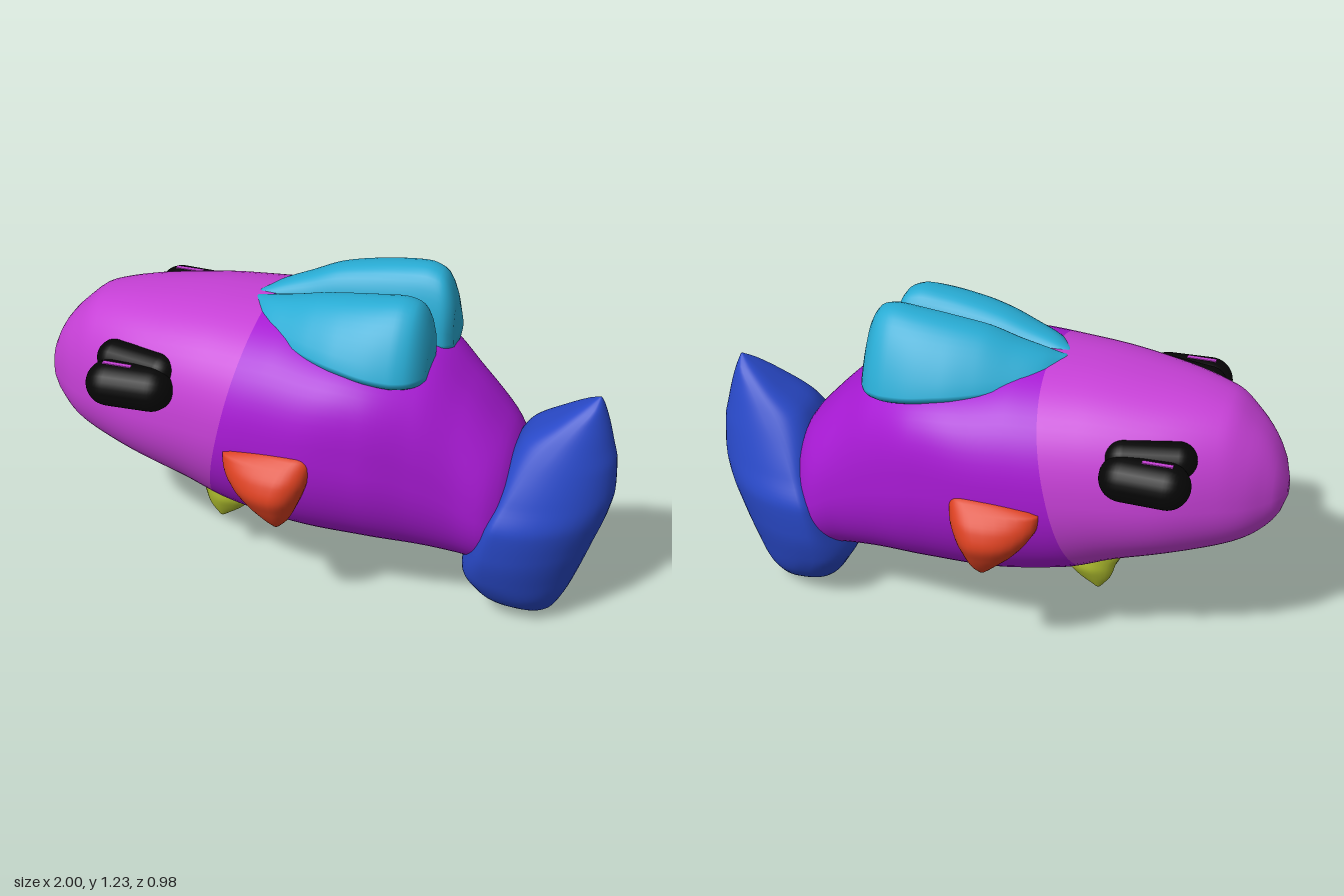
import * as THREE from 'three';

const mat = (name, color) => {
  const m = new THREE.MeshStandardMaterial({ color });
  m.name = name;
  return m;
};

// Smooth interpolation of station rows [t, hi, lo, mid, halfWidth, zCentre]
function sample(st, t) {
  let i = 0;
  while (i < st.length - 2 && t > st[i + 1][0]) i++;
  const a = st[i], b = st[i + 1], h = b[0] - a[0], u = (t - a[0]) / h;
  const slope = (k, c) => {
    if (k === 0 || k === st.length - 1) return (b[c] - a[c]) / h;
    const l = (st[k][c] - st[k - 1][c]) / (st[k][0] - st[k - 1][0]);
    const r = (st[k + 1][c] - st[k][c]) / (st[k + 1][0] - st[k][0]);
    return l * r <= 0 ? 0 : (2 * l * r) / (l + r);
  };
  return a.map((_, c) => {
    const u2 = u * u, u3 = u2 * u;
    return a[c] * (2 * u3 - 3 * u2 + 1) + b[c] * (3 * u2 - 2 * u3)
      + h * (slope(i, c) * (u3 - 2 * u2 + u) + slope(i + 1, c) * (u3 - u2));
  });
}

// Loft of superellipse sections along x or y; returns a closed smooth solid.
// taper pulls the upper half towards z = 0, eHi(t) squares off the upper half.
function loft(st, { axis = 'x', rows = 32, sides = 40, eHi = () => 2, eLo = 2, taper = 0, shear = () => 0, split = 0 }) {
  const pos = [], idx = [], t0 = st[0][0], t1 = st[st.length - 1][0];
  const flip = axis === 'y';
  const put = (t, v, w) => pos.push(...(flip ? [v, t, w] : [t + shear(t, v), v, w]));
  const tri = (a, b, c) => idx.push(...(flip ? [a, c, b] : [a, b, c]));
  const pw = (x, e) => Math.sign(x) * Math.pow(Math.abs(x), 2 / e);
  for (let i = 0; i <= rows; i++) {
    const t = t0 + (t1 - t0) * i / rows;
    const [, hi, lo, mid, hw, zc] = sample(st, t);
    for (let j = 0; j < sides; j++) {
      const a = j / sides * Math.PI * 2, c = Math.cos(a), s = Math.sin(a);
      const e = s > 0 ? eHi(t) : eLo, up = pw(s, e);
      put(t, mid + (s > 0 ? hi - mid : mid - lo) * up, (zc + hw * pw(c, e)) * (1 - taper * Math.max(0, up)));
    }
  }
  const c0 = pos.length / 3, c1 = c0 + 1, last = rows * sides;
  put(t0, st[0][3], st[0][5]);
  put(t1, st[st.length - 1][3], st[st.length - 1][5]);
  for (let j = 0; j < sides; j++) tri(c0, j, (j + 1) % sides);
  let cut = 0;
  for (let i = 0; i < rows; i++) {
    if (i === split) cut = idx.length;
    for (let j = 0; j < sides; j++) {
      const a = i * sides + j, b = i * sides + (j + 1) % sides;
      tri(a, a + sides, b);
      tri(b, a + sides, b + sides);
    }
  }
  for (let j = 0; j < sides; j++) tri(c1, last + (j + 1) % sides, last + j);
  const g = new THREE.BufferGeometry();
  g.setAttribute('position', new THREE.Float32BufferAttribute(pos, 3));
  g.setIndex(idx);
  if (split) {
    g.addGroup(0, cut, 0);
    g.addGroup(cut, idx.length - cut, 1);
  }
  g.computeVertexNormals();
  return g;
}

export function createModel() {
  const fish = new THREE.Group();
  fish.name = 'fish';
  const headMat = mat('orchid head', 0xc640d6), bodyMat = mat('violet body', 0xa81ad4);
  const tailMat = mat('blue tail', 0x2949c8), dorsalMat = mat('cyan dorsal', 0x28abd3);
  const sideMat = mat('orange fin', 0xda4020), bellyMat = mat('olive fin', 0xaebc2e);
  const eyeMat = mat('black eye', 0x060606);
  const add = (name, geo, material) => {
    const m = new THREE.Mesh(geo, material);
    m.name = name;
    fish.add(m);
    return m;
  };

  // Head and trunk in one skin, split at a slanted collar; the back is broad under the dorsal lobes
  add('headAndBody', loft([
    [-1, .73, .67, .7, .02, 0], [-.98, .80, .61, .7, .08, 0], [-.94, .88, .555, .7, .125, 0],
    [-.88, .95, .51, .7, .18, 0], [-.8, 1.015, .475, .71, .23, 0], [-.6, 1.06, .42, .72, .315, 0],
    [-.4, 1.085, .37, .73, .36, 0], [-.2, 1.09, .30, .73, .39, 0], [0, 1.06, .26, .71, .4, 0],
    [.2, 1.025, .25, .68, .375, 0], [.37, .985, .24, .62, .32, 0], [.5, .88, .225, .55, .275, 0],
    [.6, .775, .215, .48, .25, 0], [.66, .70, .22, .45, .2, 0], [.7, .6, .28, .44, .1, 0],
  ], {
    rows: 85, sides: 64, split: 36,
    eHi: t => 2.35 + .9 * Math.exp(-(((t - .2) / .2) ** 2)),
    shear: (t, y) => .22 * (y - .7) * Math.exp(-(((t + .28) / .3) ** 2)),
  }), [headMat, bodyMat]);

  // Thick fan tail, stacked upwards
  add('tail', loft([
    [.003, .79, .73, .76, .015, 0], [.02, .815, .69, .75, .06, 0], [.06, .84, .595, .72, .115, 0],
    [.13, .872, .545, .69, .178, 0], [.22, .905, .505, .65, .222, 0], [.34, .945, .54, .64, .255, 0],
    [.45, .98, .58, .65, .264, 0], [.55, .998, .62, .69, .222, 0], [.65, .995, .645, .75, .172, 0],
    [.72, .98, .68, .8, .135, 0], [.8, .96, .785, .86, .088, 0], [.86, .94, .87, .91, .042, 0],
    [.89, .928, .918, .923, .005, 0],
  ], { axis: 'y', rows: 60, sides: 48, eHi: () => 1.9, eLo: 3 }), tailMat);

  // Twin dorsal lobes leaning together, the right one a little taller and further back
  for (const side of [1, -1]) {
    const dx = side > 0 ? 0 : .035, dy = side > 0 ? 0 : .028;
    const g = loft([
      [-.25, 1.085, 1.03, 1.06, .025, .02], [-.225, 1.092, 1.02, 1.055, .05, .045],
      [-.19, 1.105, 1.0, 1.05, .076, .07], [-.1, 1.13, .98, 1.04, .107, .102],
      [0, 1.16, .96, 1.03, .132, .127], [.1, 1.18, .95, 1.02, .147, .143],
      [.2, 1.195, .94, 1.005, .152, .149], [.28, 1.203, .93, .995, .147, .145],
      [.33, 1.19, .93, .99, .135, .135], [.36, 1.15, .93, .985, .114, .122],
      [.38, 1.08, .94, .98, .07, .115],
    ].map(([t, hi, lo, mid, hw, zc]) => {
      const k = (t + .25) / .63;
      return [t + dx * k, hi + dy * Math.min(1, k * 2.5), lo, mid, hw, zc * side];
    }), { rows: 48, eHi: () => 2.5, taper: .3 });
    add(side > 0 ? 'leftDorsalLobe' : 'rightDorsalLobe', g, dorsalMat);
  }

  for (const side of [1, -1]) {
    const label = side > 0 ? 'left' : 'right';

    // Pectoral fin
    add(label + 'PectoralFin', loft([
      [.44, -.05, -.075, -.063, .015, .39], [.47, -.022, -.11, -.06, .047, .385],
      [.53, .008, -.175, -.06, .088, .38], [.59, .032, -.22, -.06, .11, .38],
      [.64, .048, -.245, -.05, .095, .38], [.69, .052, -.25, -.03, .055, .38],
      [.72, .045, -.1, 0, .02, .38],
    ].map(r => [...r.slice(0, 5), r[5] * side]), { axis: 'y', rows: 28, sides: 32 }), sideMat);

    // Pelvic fin
    const drop = side > 0 ? 0 : .015;
    add(label + 'PelvicFin', loft([
      [.19 + drop, -.37, -.39, -.38, .008, .055], [.24 + drop, -.3, -.425, -.37, .033, .055],
      [.29 + drop, -.262, -.44, -.36, .05, .053], [.36, -.28, -.465, -.37, .05, .05],
      [.42, -.3, -.46, -.38, .04, .05],
    ].map(r => [...r.slice(0, 5), r[5] * side]), { axis: 'y', rows: 18, sides: 24, eHi: () => 1.7, eLo: 1.7 }), bellyMat);

    // Eye made of two stacked pads with a small slit on the outer one
    const pad = (name, y, z, r, turn) => {
      const g = new THREE.CapsuleGeometry(r, .3 - 2 * r, 10, 24);
      g.rotateZ(Math.PI / 2);
      const m = add(name, g, eyeMat);
      m.position.set(-.585, y, z * side);
      m.rotation.y = turn * side;
    };
    pad(label + 'EyeOuter', .857, .338, .077, .04);
    pad(label + 'EyeInner', .897, .262, .062, -.2);
    const slit = add(label + 'EyeSlit', new THREE.BoxGeometry(.1, .008, .016), headMat);
    slit.position.set(-.625, .932, .342 * side);
  }
  return fish;
}
